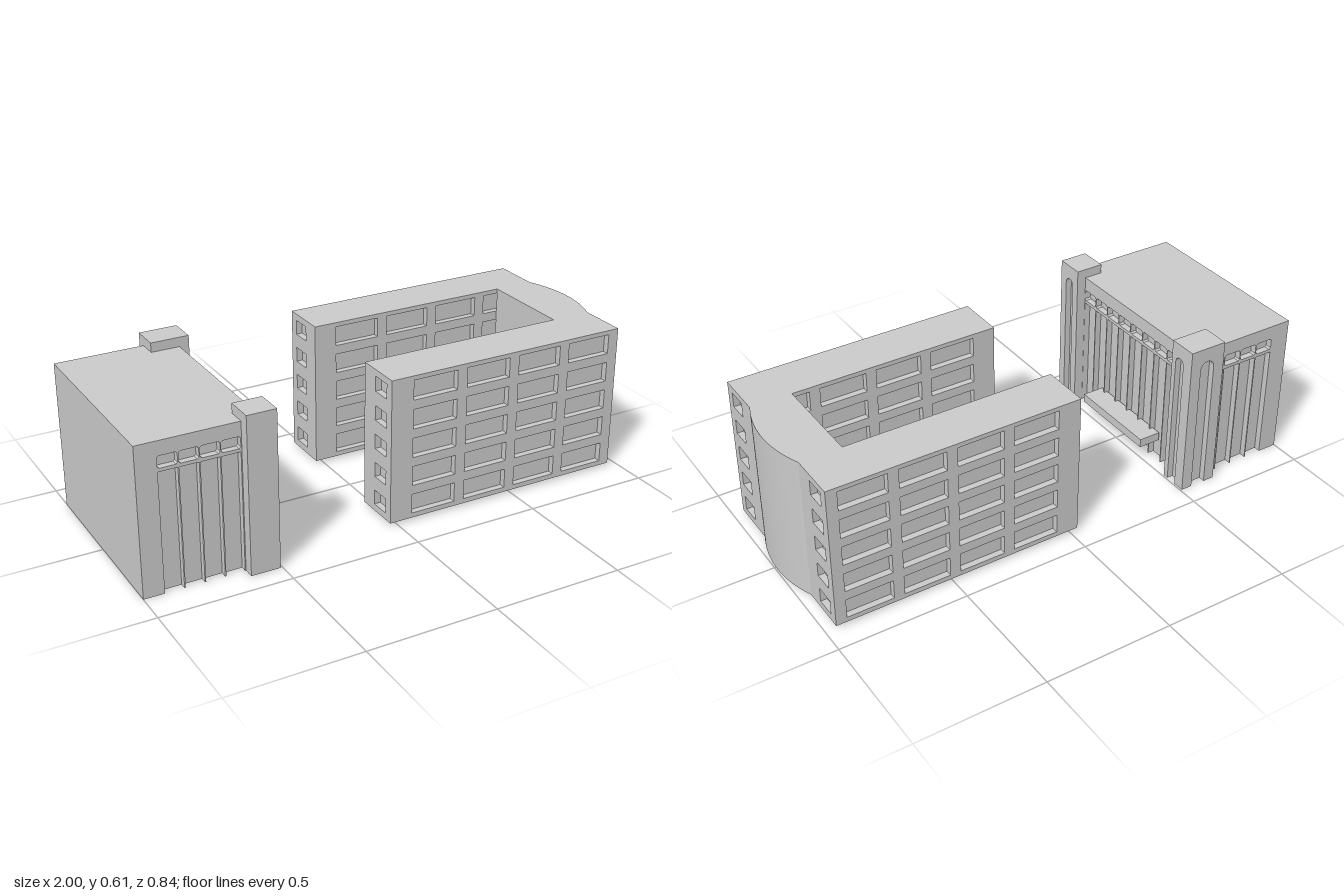
import * as THREE from 'three';

const material = new THREE.MeshStandardMaterial({ color: 0xcccccc, flatShading: true });
const DEPTH = 0.025; // depth of window and slot recesses

function mesh(name, geometry, parent) {
  const m = new THREE.Mesh(geometry, material);
  m.name = name;
  parent.add(m);
  return m;
}

// Box given by its minimum and maximum corners
function box(name, parent, [x0, y0, z0], [x1, y1, z1]) {
  const m = mesh(name, new THREE.BoxGeometry(x1 - x0, y1 - y0, z1 - z0), parent);
  m.position.set((x0 + x1) / 2, (y0 + y1) / 2, (z0 + z1) / 2);
  return m;
}

// Upright panel whose outer face passes through (x, z), turned about y
function panel(name, parent, shape, x, z, turn) {
  const g = new THREE.ExtrudeGeometry(shape, { depth: DEPTH, bevelEnabled: false, curveSegments: 8 });
  g.translate(0, 0, -DEPTH);
  const m = mesh(name, g, parent);
  m.position.set(x, 0, z);
  m.rotation.y = turn;
}

function rectPath(u0, v0, u1, v1, PathType = THREE.Path) {
  return new PathType([[u0, v0], [u1, v0], [u1, v1], [u0, v1]].map(p => new THREE.Vector2(...p)));
}

const BASE = 0.012, TOP = 0.58;

// Wall with columns of windows over five floors; columns are [start, end] pairs
function windowWall(half, columns, sill, height, pitch) {
  const s = rectPath(-half, BASE, half, TOP, THREE.Shape);
  for (const [a, b] of columns)
    for (let i = 0; i < 5; i++) s.holes.push(rectPath(a, sill + i * pitch, b, sill + i * pitch + height));
  return s;
}

// One long wing with recessed windows on all four sides
function wing(name, z0, z1) {
  const g = new THREE.Group();
  g.name = name;
  const x0 = -0.03, x1 = 0.96, cx = (x0 + x1) / 2, cz = (z0 + z1) / 2;
  const d = DEPTH;
  box('wingCore', g, [x0 + d, BASE, z0 + d], [x1 - d, TOP, z1 - d]);
  const mid = [0, 1, 2, 3].map(i => [0.061 + i * 0.2245 - cx, 0.244 + i * 0.2245 - cx]);
  const mirrored = mid.map(([a, b]) => [-b, -a]);
  panel('frontWall', g, windowWall((x1 - x0) / 2, mid, 0.031, 0.077, 0.1137), cx, z1, 0);
  panel('backWall', g, windowWall((x1 - x0) / 2, mirrored, 0.031, 0.077, 0.1137), cx, z0, Math.PI);
  const end = windowWall((z1 - z0) / 2 - d, [[-0.039, 0.039]], 0.039, 0.058, 0.1142);
  const endZ = cz + (cz > 0 ? 0.02 : -0.02) * 1;
  // End windows sit slightly outward of the wing's centre line
  const shift = endZ - cz > 0 ? 1 : -1;
  const endWall = sign => windowWall((z1 - z0) / 2 - d,
    [[-0.039 - sign * shift * 0.02, 0.039 - sign * shift * 0.02]], 0.039, 0.058, 0.1142);
  panel('rightEndWall', g, endWall(1), x1, cz, Math.PI / 2);
  panel('leftEndWall', g, endWall(-1), x0, cz, -Math.PI / 2);
  return g;
}

// Slotted facade: tall slots open at the foot, a row of small windows above
function slotWall(u0, u1, height, start, count, pitch) {
  const fin = 0.0045;
  const s = new THREE.Shape();
  s.moveTo(u0, 0);
  for (let i = 0; i < count; i++) {
    const a = start + i * pitch + fin / 2, b = a + pitch - fin;
    s.lineTo(a, 0);
    s.lineTo(a, 0.46);
    s.lineTo(b, 0.46);
    s.lineTo(b, 0);
    // small window with clipped corners
    const c = 0.006;
    s.holes.push(new THREE.Path([
      [a + c, 0.473], [b - c, 0.473], [b, 0.473 + c], [b, 0.518 - c],
      [b - c, 0.518], [a + c, 0.518], [a, 0.518 - c], [a, 0.473 + c],
    ].map(p => new THREE.Vector2(...p))));
  }
  s.lineTo(u1, 0);
  s.lineTo(u1, height);
  s.lineTo(u0, height);
  s.closePath();
  return s;
}

// Tower face with a round-topped slot open at the foot
function archWall(half, height, r) {
  const s = new THREE.Shape();
  s.moveTo(-half, 0);
  s.lineTo(-r, 0);
  s.lineTo(-r, 0.553 - r);
  s.absarc(0, 0.553 - r, r, Math.PI, 0, true);
  s.lineTo(r, 0);
  s.lineTo(half, 0);
  s.lineTo(half, height);
  s.lineTo(-half, height);
  s.closePath();
  return s;
}

export function createModel() {
  const model = new THREE.Group();
  model.name = 'buildings';

  // U-shaped building
  const court = new THREE.Group();
  court.name = 'courtyardBuilding';
  model.add(court);
  court.add(wing('frontWing', 0.165, 0.355), wing('backWing', -0.405, -0.215));

  // Connecting block with bowed outer wall
  const plan = new THREE.Shape();
  const zA = -0.215, zB = 0.165, half = (zB - zA) / 2, sag = 0.04;
  const radius = (half * half + sag * sag) / (2 * sag);
  const sweep = Math.asin(half / radius);
  plan.moveTo(0.8, -zB);
  plan.lineTo(0.96, -zB);
  plan.absarc(1 - radius, -(zA + zB) / 2, radius, -sweep, sweep, false);
  plan.lineTo(0.8, -zA);
  plan.closePath();
  const bow = new THREE.ExtrudeGeometry(plan, { depth: TOP - BASE, bevelEnabled: false, curveSegments: 16 });
  bow.rotateX(-Math.PI / 2);
  mesh('bowedConnector', bow, court).position.y = BASE;

  // Slotted hall
  const hall = new THREE.Group();
  hall.name = 'hall';
  model.add(hall);
  const d = DEPTH, H = 0.573;
  box('hallCore', hall, [-1, 0, -0.38 + d], [-0.545 - d, H, 0.375 - d]);
  panel('hallFrontWall', hall, slotWall(-1, -0.545, H, -0.924, 4, 0.0757), 0, 0.375, 0);
  panel('hallBackWall', hall, slotWall(0.545, 1, H, 0.621, 4, 0.0757), 0, -0.38, Math.PI);
  panel('hallSideWall', hall, slotWall(-0.375 + d, 0.38 - d, H, -0.306, 8, 0.0764), -0.545, 0, Math.PI / 2);
  box('canopy', hall, [-0.56, 0.08, -0.195], [-0.47, 0.115, 0.185]);

  // Corner towers with arched slots
  const TH = 0.61;
  box('frontTowerCore', hall, [-0.62, 0, 0.305], [-0.507 - d, TH, 0.417]);
  panel('frontTowerFace', hall, archWall(0.056, TH, 0.022), -0.507, 0.361, Math.PI / 2);
  box('backTowerCore', hall, [-0.657, 0, -0.418 + d], [-0.507 - d, TH, -0.305]);
  panel('backTowerSideFace', hall, archWall((0.113 - d) / 2, TH, 0.022), -0.507, (-0.305 - 0.418 + d) / 2, Math.PI / 2);
  panel('backTowerBackFace', hall, archWall(0.075, TH, 0.03), -0.582, -0.418, Math.PI);

  return model;
}
